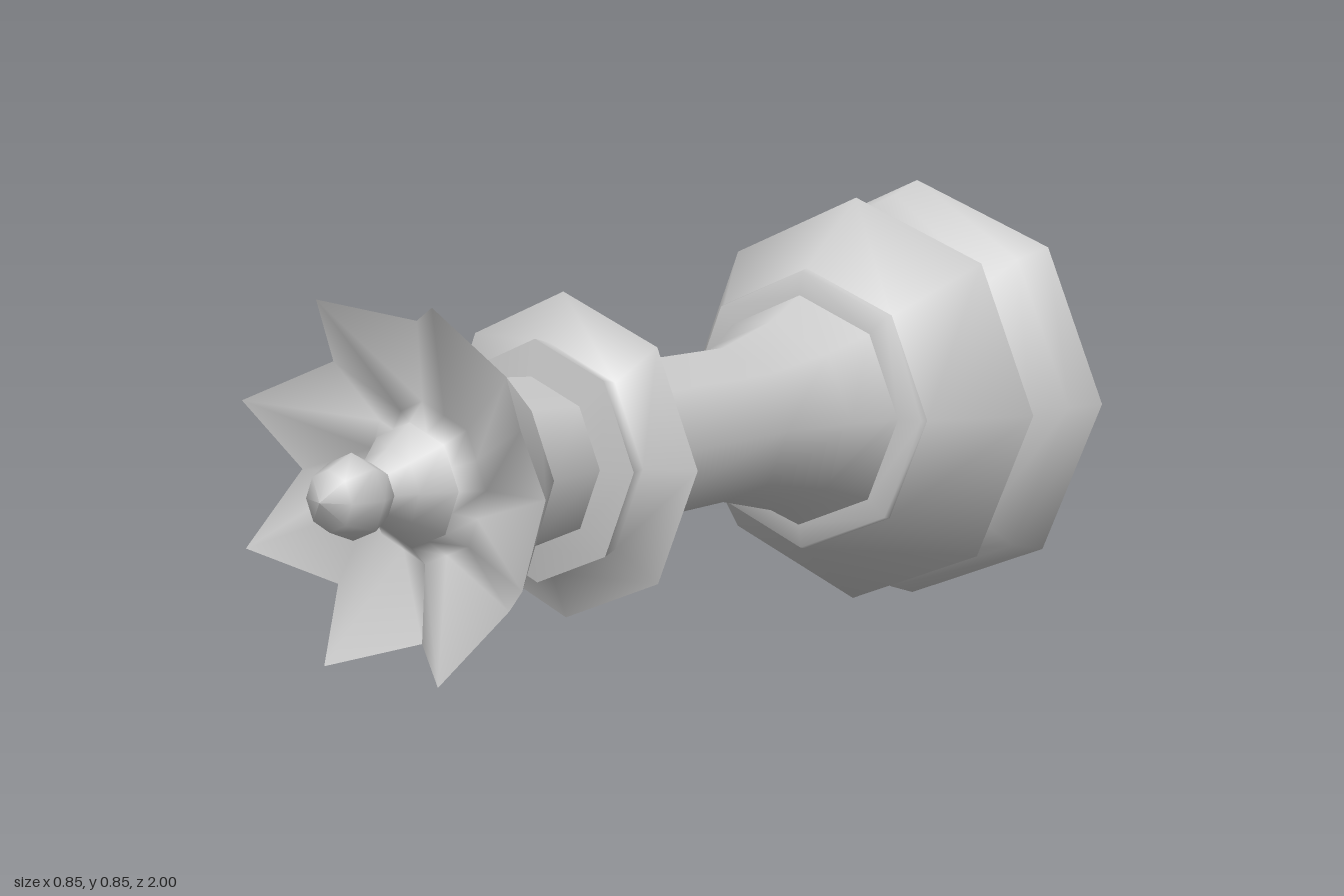
import * as THREE from 'three';

const SIDES = 8;
const AXIS_Y = 0.428;

export function createModel() {
  const model = new THREE.Group();
  model.name = 'chessPiece';
  const material = new THREE.MeshStandardMaterial({ color: 0xcccccc, side: THREE.DoubleSide });

  // The piece is turned around its own axis, then laid down with its crown towards +z.
  const piece = new THREE.Group();
  piece.name = 'turnedPiece';
  piece.rotation.x = Math.PI / 2;
  piece.position.y = AXIS_Y;
  model.add(piece);

  const add = (name, geometry) => {
    const mesh = new THREE.Mesh(geometry, material);
    mesh.name = name;
    piece.add(mesh);
    return mesh;
  };
  // Profile points are [radius, distance along the axis].
  const turned = (profile, sides = SIDES) =>
    new THREE.LatheGeometry(profile.map(([r, h]) => new THREE.Vector2(r, h)), sides);

  // Base: underside, flared foot, bulging bell
  add('baseUnderside', turned([[0, -0.717], [0.427, -0.717]]));
  add('baseFoot', turned([[0.427, -0.717], [0.4, -0.63], [0.335, -0.587]]));
  add('baseBell', turned([[0.335, -0.587], [0.4, -0.487], [0.272, -0.312]]));
  add('baseStep', turned([[0.272, -0.312], [0.268, -0.297], [0.222, -0.29]]));

  // Ball half sunk into the underside
  add('baseBall', new THREE.SphereGeometry(0.255, SIDES, 4).rotateY(Math.PI / 2)).position.y = -0.745;

  // Stem and collar
  add('stem', turned([[0.222, -0.29], [0.18, -0.195], [0.143, -0.04], [0.143, 0.334]]));
  add('collarFlare', turned([[0.143, 0.334], [0.278, 0.42]]));
  add('collarTop', turned([[0.278, 0.42], [0.195, 0.457], [0.205, 0.495]]));
  add('collarCap', turned([[0.205, 0.495], [0.143, 0.505]]));
  add('neck', turned([[0.143, 0.505], [0.153, 0.634]]));

  // Crown: every second column of the rim is pulled out into a point,
  // the other rings keep their eight-sided outline.
  const crownPart = (name, profile, rim) => {
    const geometry = turned(profile, SIDES * 2);
    const p = geometry.attributes.position;
    const rings = profile.length;
    for (let i = 0; i < p.count; i++) {
      if (Math.floor(i / rings) % 2 === 0) continue;
      const isRim = i % rings === rim;
      const r = Math.hypot(p.getX(i), p.getZ(i));
      const k = isRim ? 0.315 / r : Math.cos(Math.PI / SIDES);
      p.setXYZ(i, p.getX(i) * k, isRim ? 0.877 : p.getY(i), p.getZ(i) * k);
    }
    geometry.computeVertexNormals();
    add(name, geometry);
  };
  crownPart('crownOutside', [[0.153, 0.634], [0.257, 0.78]], 1);
  crownPart('crownInside', [[0.257, 0.78], [0.13, 0.77], [0.1, 0.8]], 0);

  // Finial in the middle of the crown
  add('finialBase', turned([[0.1, 0.8], [0.066, 0.85], [0.045, 0.885]]));
  add('finialBall', turned([[0.045, 0.885], [0.068, 0.93], [0.048, 0.98], [0, 1]]));

  return model;
}
